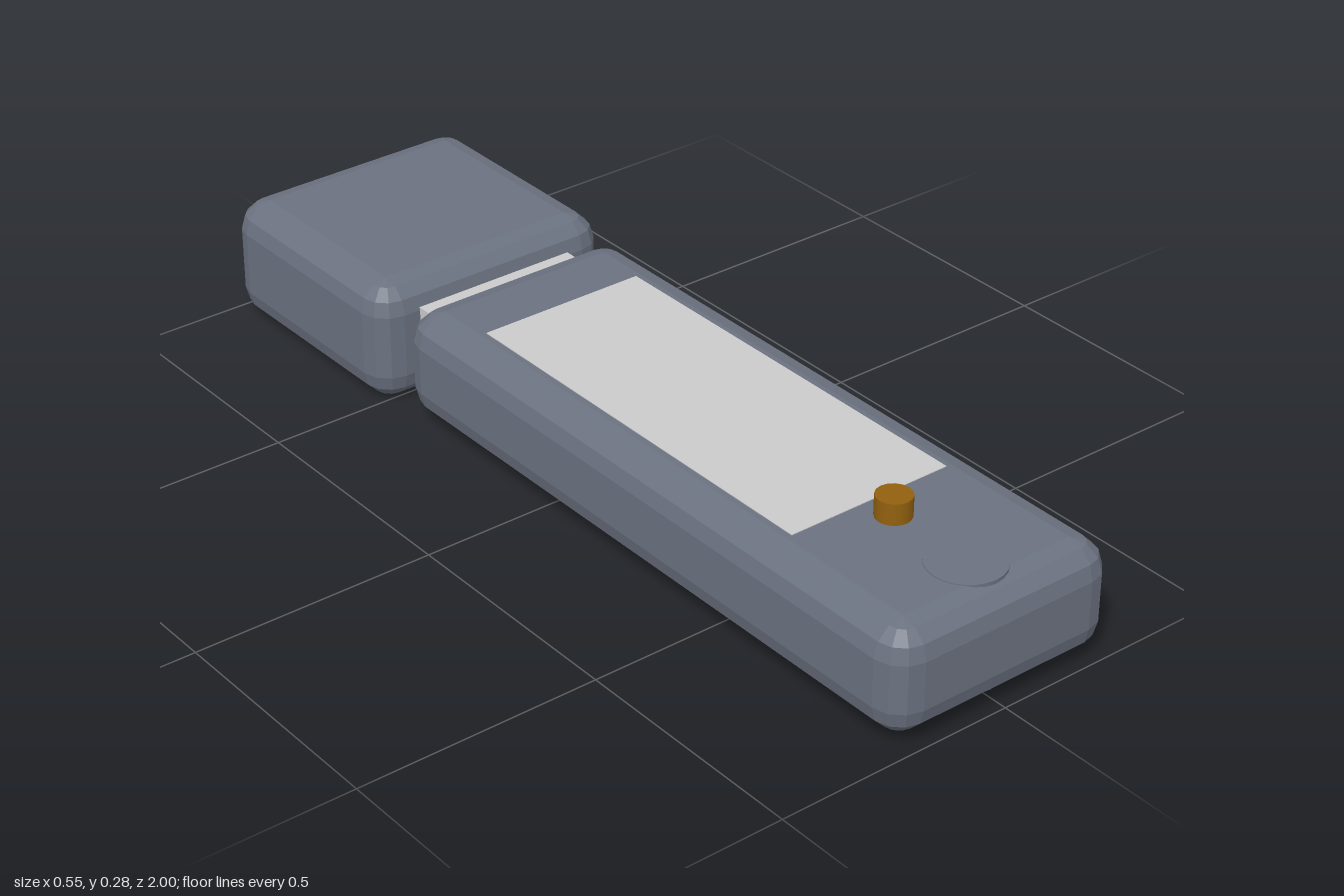
import * as THREE from 'three';
import { ConvexGeometry } from 'three/addons/geometries/ConvexGeometry.js';

const material = (color) => new THREE.MeshStandardMaterial({ color });
const slate = material(0x6b7280);
const grey = material(0xcccccc);
const brass = material(0x92610f);

// Box with evenly stepped, three-facet rounded edges and corners
function bevelledBox(w, h, d, r, steps = 3) {
  const points = [];
  for (const sx of [-1, 1]) for (const sy of [-1, 1]) for (const sz of [-1, 1]) {
    for (let i = 0; i <= steps; i++) {
      const lat = (i / steps) * Math.PI / 2;
      const lonSteps = i === steps ? 0 : steps;
      for (let j = 0; j <= lonSteps; j++) {
        const lon = (j / steps) * Math.PI / 2;
        points.push(new THREE.Vector3(
          sx * (w / 2 - r + r * Math.cos(lat) * Math.cos(lon)),
          sy * (h / 2 - r + r * Math.sin(lat)),
          sz * (d / 2 - r + r * Math.cos(lat) * Math.sin(lon))
        ));
      }
    }
  }
  return new ConvexGeometry(points);
}

export function createModel() {
  const model = new THREE.Group();
  model.name = 'usbStick';

  const add = (name, geometry, mat, x, y, z) => {
    const mesh = new THREE.Mesh(geometry, mat);
    mesh.name = name;
    mesh.position.set(x, y, z);
    model.add(mesh);
  };

  // Main casing and the cap at the back
  add('body', bevelledBox(0.508, 0.223, 1.43, 0.062), slate, 0, 0.129, 0.285);
  add('cap', bevelledBox(0.552, 0.254, 0.53, 0.06), slate, 0, 0.127, -0.735);

  // Plug bridging the gap between body and cap
  add('connector', new THREE.BoxGeometry(0.36, 0.14, 0.36), grey, 0, 0.13, -0.55);

  // Thin label plate on top
  add('labelPlate', new THREE.BoxGeometry(0.36, 0.006, 0.89), grey, 0, 0.239, 0.195);

  // Small upright button
  add('button', new THREE.CylinderGeometry(0.035, 0.035, 0.06, 16), brass, 0, 0.254, 0.7);

  // Lanyard plug, just proud of the casing above and below
  add('lanyardPlug', new THREE.CylinderGeometry(0.075, 0.075, 0.227, 24), slate, 0, 0.129, 0.885);

  return model;
}
